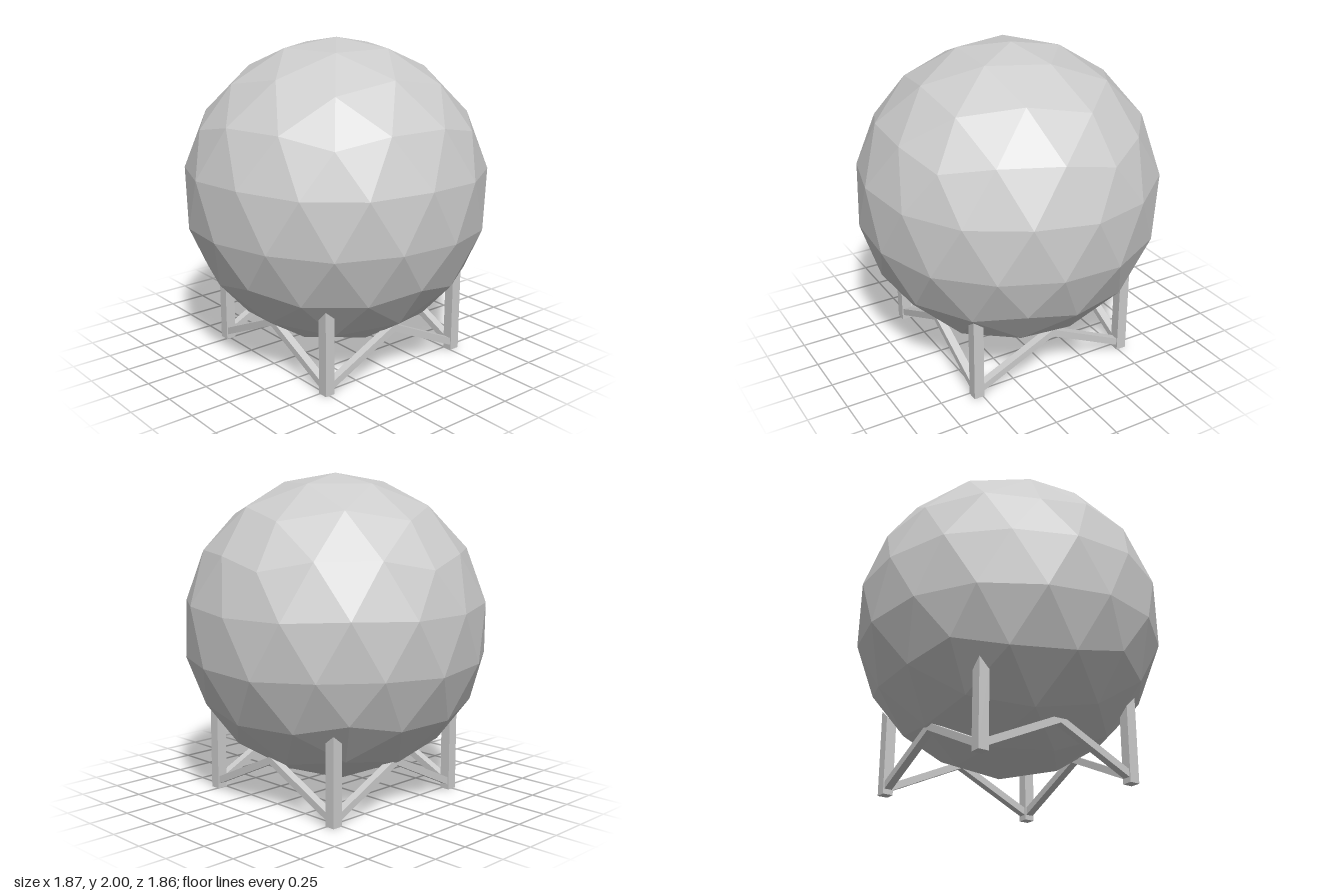
import * as THREE from 'three';

const rad = THREE.MathUtils.degToRad;

export function createModel() {
  const model = new THREE.Group();
  model.name = 'sphereOnStand';
  const material = new THREE.MeshStandardMaterial({ color: 0xcccccc, flatShading: true });

  const add = (geometry, name, parent) => {
    const mesh = new THREE.Mesh(geometry, material);
    mesh.name = name;
    parent.add(mesh);
    return mesh;
  };

  // Faceted ball: a geodesic sphere with a corner upward, turned and leaning slightly
  const ball = new THREE.IcosahedronGeometry(0.95, 2);
  ball.rotateZ(-Math.atan(2 / (1 + Math.sqrt(5))));
  ball.rotateY(rad(14.5));
  ball.rotateZ(-0.016);
  ball.rotateX(-0.016);
  add(ball, 'ball', model).position.set(0, 1.05, 0);

  const stand = new THREE.Group();
  stand.name = 'stand';
  model.add(stand);

  // Leg centres, going round the stand
  const cx = 0.02, hx = 0.515, hz = 0.525, width = 0.066;
  const corners = [[1, 1], [-1, 1], [-1, -1], [1, -1]];

  // Square legs, the top sliced so that the outer corner is highest
  for (const [sx, sz] of corners) {
    const leg = new THREE.BoxGeometry(width, 1, width);
    const p = leg.attributes.position;
    for (let i = 0; i < p.count; i++) {
      const outward = (p.getX(i) * sx + p.getZ(i) * sz) / width;
      p.setY(i, p.getY(i) > 0 ? 0.49 + 0.05 * outward : 0);
    }
    leg.computeVertexNormals();
    const name = (sz > 0 ? 'front' : 'back') + (sx > 0 ? 'Left' : 'Right') + 'Leg';
    add(leg, name, stand).position.set(cx + sx * hx, 0, sz * hz);
  }

  // Sloping braces: from each foot up to the middle of the two sides beside it
  const brace = (from, to) => {
    const length = from.distanceTo(to) + 0.02;
    const mesh = add(new THREE.BoxGeometry(0.05, 0.043, length), 'brace', stand);
    mesh.position.copy(from).add(to).multiplyScalar(0.5);
    mesh.lookAt(to);
  };
  corners.forEach(([sx, sz], i) => {
    const [nx, nz] = corners[(i + 1) % 4];
    const a = new THREE.Vector3(cx + sx * hx, 0.04, sz * hz);
    const b = new THREE.Vector3(cx + nx * hx, 0.04, nz * hz);
    const apex = a.clone().add(b).multiplyScalar(0.5).setY(0.285);
    brace(a, apex);
    brace(b, apex);
  });

  return model;
}
